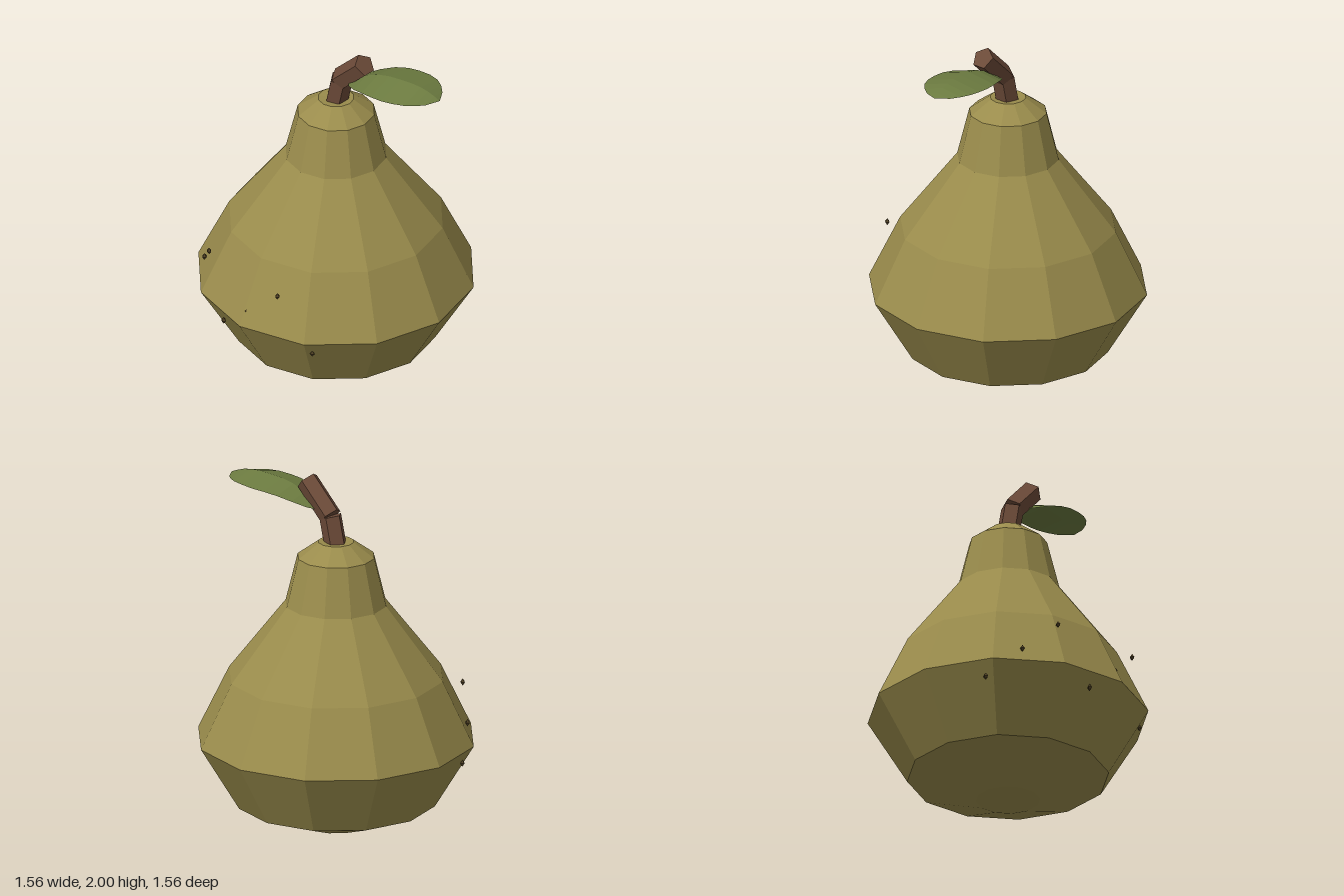
import * as THREE from 'three';

const paint = (color, side = THREE.FrontSide) =>
  new THREE.MeshStandardMaterial({ color, flatShading: true, side });

function part(name, geometry, material) {
  const mesh = new THREE.Mesh(geometry, material);
  mesh.name = name;
  return mesh;
}

// Five-sided prism between two points in the z = 0 plane, one ridge facing up
function stemPiece(name, from, to, radius, material) {
  const a = new THREE.Vector3(...from), b = new THREE.Vector3(...to);
  const dir = b.clone().sub(a);
  const geometry = new THREE.CylinderGeometry(radius, radius, dir.length(), 5, 1, false, -Math.PI / 2);
  const mesh = part(name, geometry, material);
  mesh.position.copy(a).add(b).multiplyScalar(0.5);
  mesh.rotation.z = -Math.atan2(dir.x, dir.y);
  return mesh;
}

// Arched leaf with a raised midrib and drooping edges
function leafGeometry() {
  const rib = new THREE.CatmullRomCurve3([
    [0.09, 1.80, 0], [0.2, 1.872, -0.01], [0.325, 1.925, -0.025], [0.45, 1.943, -0.04],
    [0.57, 1.947, -0.055], [0.65, 1.932, -0.065], [0.717, 1.905, -0.073],
  ].map((p) => new THREE.Vector3(...p)));
  const steps = 10;
  const geometry = new THREE.PlaneGeometry(1, 1, 2, steps);
  const pos = geometry.attributes.position;
  for (let row = 0; row <= steps; row++) {
    const t = row / steps;
    const c = rib.getPoint(t);
    const width = 0.178 * Math.pow(Math.sin(Math.PI * t), 0.72);
    for (let col = 0; col < 3; col++) {
      const s = col - 1;
      const droop = Math.abs(s) * width * 0.24 + s * width * 0.04;
      pos.setXYZ(row * 3 + col, c.x + s * width * 0.1, c.y - droop, c.z + s * width);
    }
  }
  geometry.computeVertexNormals();
  return geometry;
}

export function createModel() {
  const model = new THREE.Group();
  model.name = 'pear';

  // Twelve-sided fruit body
  const profile = [
    [0, 0], [0.18, 0], [0.56, 0.14], [0.78, 0.505], [0.605, 0.87],
    [0.285, 1.285], [0.217, 1.56], [0.1, 1.645], [0, 1.635],
  ].map(([x, y]) => new THREE.Vector2(x, y));
  model.add(part('body', new THREE.LatheGeometry(profile, 12), paint(0x9a8c4c)));

  // Bent stem
  const bark = paint(0x6b4a38);
  const stem = new THREE.Group();
  stem.name = 'stem';
  stem.add(
    stemPiece('lowerStem', [0, 1.62, 0], [0.039, 1.784, 0], 0.065, bark),
    stemPiece('upperStem', [0.039, 1.784, 0], [0.215, 1.953, 0], 0.065, bark),
  );
  model.add(stem);

  model.add(part('leaf', leafGeometry(), paint(0x6c7b40, THREE.DoubleSide)));

  // Freckles in a zigzag band round the front
  const freckles = new THREE.Group();
  freckles.name = 'freckles';
  const freckleShape = new THREE.OctahedronGeometry(0.021).scale(0.75, 1, 0.75);
  const freckleColor = paint(0x4f4024);
  for (let i = 0; i < 7; i++) {
    const angle = 1 + i * 0.28;
    const freckle = part('freckle', freckleShape, freckleColor);
    freckle.position.set(0.727 * Math.cos(angle), 0.42 + 0.168 * ((2 * i) % 3), 0.727 * Math.sin(angle));
    freckles.add(freckle);
  }
  model.add(freckles);

  return model;
}
